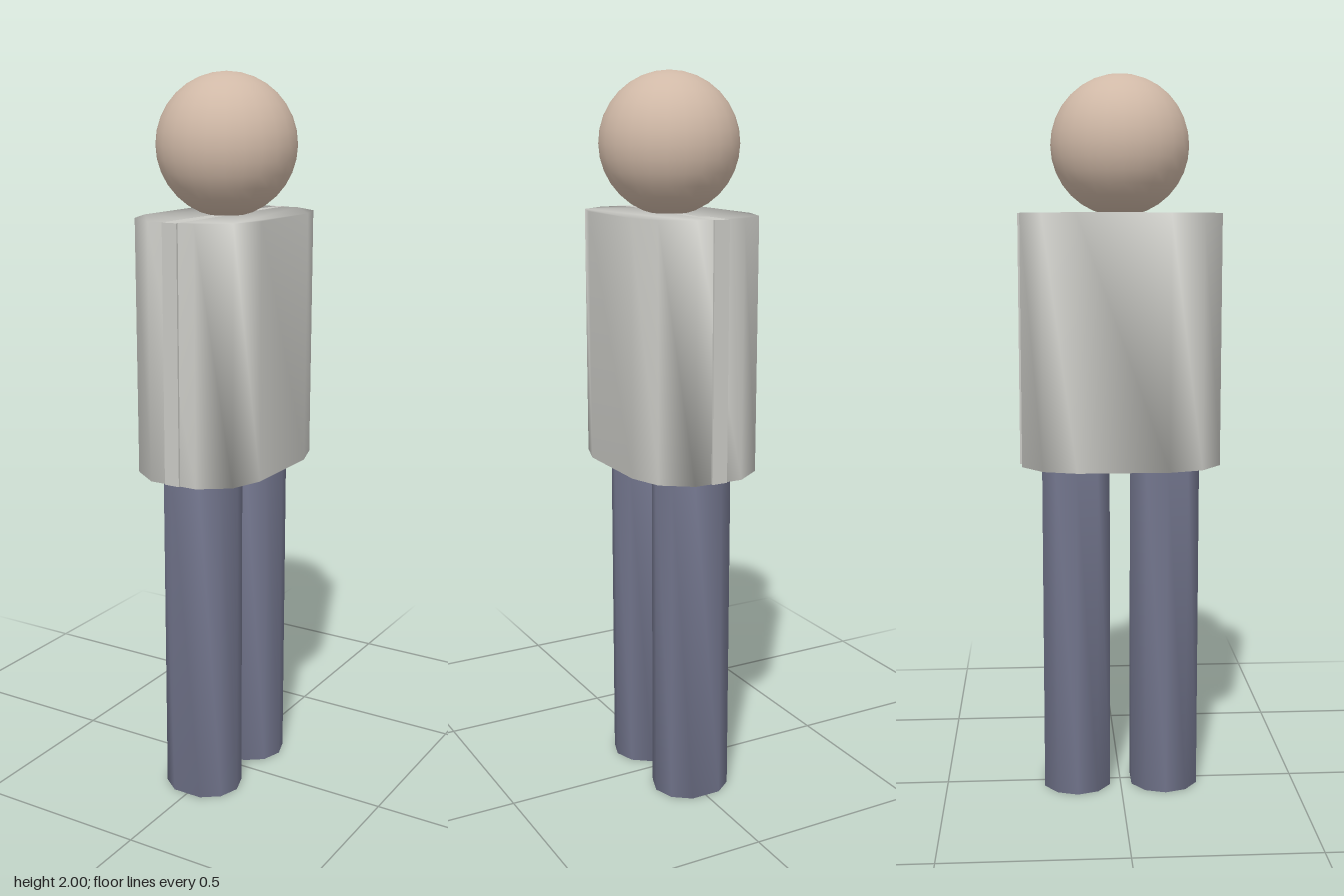
import * as THREE from 'three';
import { mergeVertices } from 'three/addons/utils/BufferGeometryUtils.js';

const HIP_Z = 0.125;

// Half of a coarse rounded end: x and z as fractions of the end's radii
const END = [[1, 0], [0.83, 0.57], [0.39, 0.93], [-0.39, 0.93], [-0.83, 0.57], [-1, 0]];

// Upright prism with two rounded ends, their centres `gap` either side of the middle
function roundedPrism(rx, rz, gap, y0, y1) {
  const half = END.map(([x, z]) => new THREE.Vector2(x * rx, z * rz + gap));
  const otherHalf = half.map((p) => p.clone().negate());
  const points = [...half, ...otherHalf];
  // Without a gap the halves share their end points
  const outline = gap > 0 ? points : points.filter((p, i) => i !== 6 && i !== 11);
  const geo = new THREE.ExtrudeGeometry(new THREE.Shape(outline), { depth: y1 - y0, bevelEnabled: false });
  geo.rotateX(-Math.PI / 2).translate(0, y0, 0);
  // Shared corners give the soft shading that runs over the rims
  geo.deleteAttribute('uv');
  geo.deleteAttribute('normal');
  const smooth = mergeVertices(geo, 1e-4);
  smooth.computeVertexNormals();
  return smooth;
}

export function createModel() {
  const model = new THREE.Group();
  model.name = 'figure';
  const skin = new THREE.MeshStandardMaterial({ color: 0xd0b9a7 });
  const shirt = new THREE.MeshStandardMaterial({ color: 0xcacac5 });
  const trousers = new THREE.MeshStandardMaterial({ color: 0x70738a });

  const add = (name, geo, mat) => {
    const mesh = new THREE.Mesh(geo, mat);
    mesh.name = name;
    model.add(mesh);
    return mesh;
  };

  // Head
  add('head', new THREE.SphereGeometry(0.189, 24, 16), skin).position.y = 1.811;

  // Torso with a narrow raised seam on both flat ends
  add('torso', roundedPrism(0.18, 0.16, HIP_Z, 0.94, 1.63), shirt);
  add('torsoSeam', new THREE.BoxGeometry(0.044, 0.69, 0.56), shirt).position.y = 1.285;

  // Legs, one behind the other along z
  for (const [name, side] of [['frontLeg', 1], ['backLeg', -1]]) {
    add(name, roundedPrism(0.11, 0.101, 0, 0, 0.95), trousers).position.z = side * HIP_Z;
  }

  return model;
}
